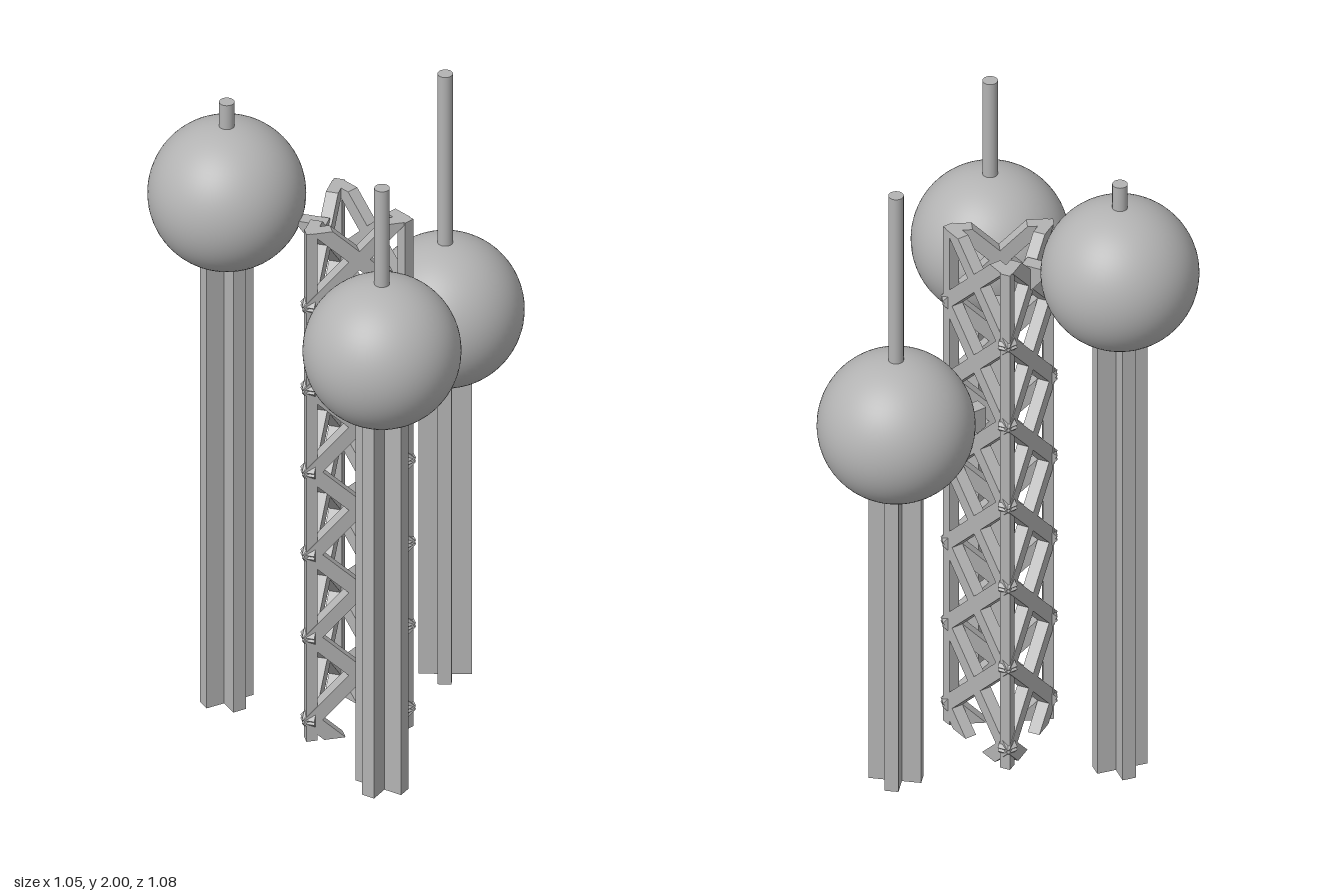
import * as THREE from 'three';

const TOWER_H = 1.7, RADIUS = 0.16, APOTHEM = 0.08, PANEL = 0.277, NODE0 = 0.067;
const CENTER = [-0.065, 0.027];
const START = THREE.MathUtils.degToRad(9.4);

// keep the part of a polygon on one side of a horizontal line
function clip(pts, y, sign) {
  const out = [];
  pts.forEach((p, i) => {
    const q = pts[(i + 1) % pts.length];
    const dp = (p.y - y) * sign, dq = (q.y - y) * sign;
    if (dp >= 0) out.push(p);
    if (dp * dq < 0) out.push(p.clone().lerp(q, dp / (dp - dq)));
  });
  return out;
}

// extrude a polygon, centred on its thickness
function slab(pts, thick) {
  const geo = new THREE.ExtrudeGeometry(new THREE.Shape(pts), { depth: thick, bevelEnabled: false });
  return geo.translate(0, 0, -thick / 2);
}

// diagonal brace outline, cut flat at the tower's foot and top
function braceOutline(a, b) {
  const d = b.clone().sub(a).normalize();
  const n = new THREE.Vector2(-d.y, d.x).multiplyScalar(0.022);
  const e = d.multiplyScalar(0.014);
  const p = a.clone().sub(e), q = b.clone().add(e);
  const box = [p.clone().sub(n), q.clone().sub(n), q.clone().add(n), p.clone().add(n)];
  return clip(clip(box, 0, 1), TOWER_H, -1);
}

export function createModel() {
  const model = new THREE.Group();
  model.name = 'sphereTower';
  const gray = new THREE.MeshStandardMaterial({ color: 0xb3b3b3 });
  gray.name = 'plain gray';

  const add = (parent, name, geo, x = 0, y = 0, z = 0) => {
    const mesh = new THREE.Mesh(geo, gray);
    mesh.name = name;
    mesh.position.set(x, y, z);
    parent.add(mesh);
    return mesh;
  };

  const half = RADIUS * Math.sin(Math.PI / 3);
  const sphereHeights = [1.21, 1.455, 1.695];

  sphereHeights.forEach((h, i) => {
    // one third of the model: local +x points outward from the tower axis
    const angle = START + i * Math.PI * 2 / 3;
    const sector = new THREE.Group();
    sector.name = 'sector' + (i + 1);
    sector.position.set(CENTER[0], 0, CENTER[1]);
    sector.rotation.y = -angle;
    model.add(sector);

    // corner post of the triangular lattice
    add(sector, 'towerPost', new THREE.BoxGeometry(0.032, TOWER_H, 0.032),
      APOTHEM, TOWER_H / 2, half);

    // crossed braces on the face
    for (let k = -1; k <= 6; k++) {
      for (const s of [-1, 1]) {
        const y = NODE0 + k * PANEL;
        const pts = braceOutline(new THREE.Vector2(-s * half, y), new THREE.Vector2(s * half, y + PANEL));
        if (pts.length < 3) continue;
        add(sector, 'brace', slab(pts, 0.036), APOTHEM).rotation.y = Math.PI / 2;
      }
    }

    // bracket from the tower face to the sphere
    const bracket = [[0.07, -0.045], [0.07, -0.11], [0.1, -0.125], [0.165, -0.045]]
      .map(([x, y]) => new THREE.Vector2(x, h + y));
    add(sector, 'bracket', slab(bracket, 0.042));

    // satellite: cross-shaped column, sphere and rod
    const out = 0.369, colH = h - 0.18;
    for (const s of [-1, 1]) {
      add(sector, 'columnFin', new THREE.BoxGeometry(0.152, colH, 0.04), out, colH / 2, 0)
        .rotation.y = s * Math.PI / 4;
    }
    add(sector, 'sphere', new THREE.SphereGeometry(0.226, 64, 40), out, h, 0);
    const rodH = 2 - h;
    add(sector, 'rod', new THREE.CylinderGeometry(0.022, 0.022, rodH, 32), out, h + rodH / 2, 0);
  });

  return model;
}
